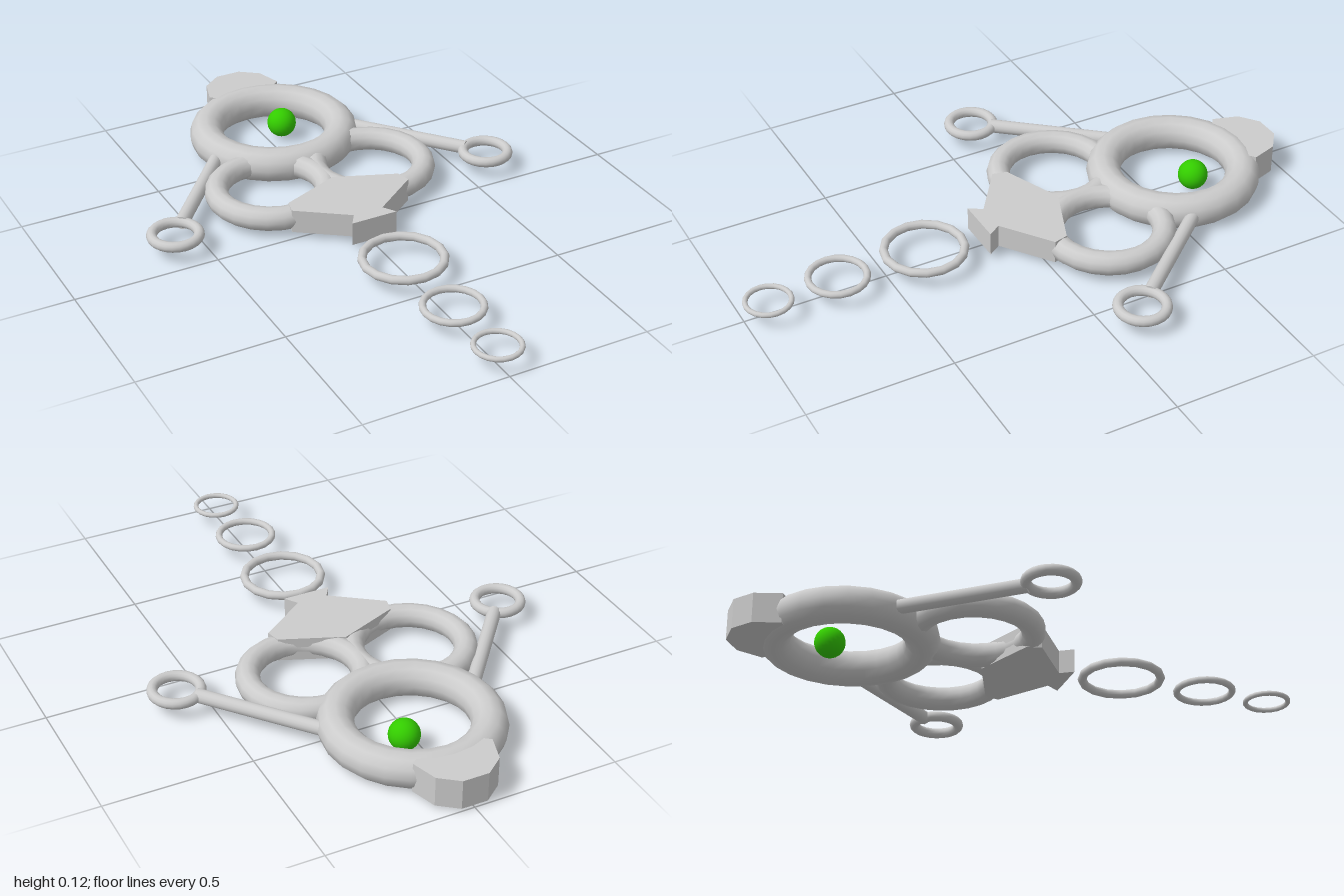
import * as THREE from 'three';

const MID = 0.06; // height of the common middle plane
const grey = new THREE.MeshStandardMaterial({ color: 0xcccccc });
const green = new THREE.MeshStandardMaterial({ color: 0x33cc00 });

function add(group, name, geometry, material = grey) {
  const mesh = new THREE.Mesh(geometry, material);
  mesh.name = name;
  group.add(mesh);
  return mesh;
}

// Ring lying flat at (x, z)
function ring(group, name, x, z, radius, tube, segments = 24) {
  const geometry = new THREE.TorusGeometry(radius, tube, 12, segments).rotateX(Math.PI / 2);
  add(group, name, geometry).position.set(x, MID, z);
}

// Flat plate, symmetric in x, from the [x, z] points of its +x half
function plate(group, name, half, y0, y1) {
  const mirrored = half.filter(([x]) => x > 0).reverse().map(([x, z]) => [-x, z]);
  const points = [...half, ...mirrored].map(([x, z]) => new THREE.Vector2(x, -z));
  const geometry = new THREE.ExtrudeGeometry(new THREE.Shape(points), { depth: y1 - y0, bevelEnabled: false });
  add(group, name, geometry.rotateX(-Math.PI / 2)).position.y = y0;
}

// Straight round bar between two points
function bar(group, name, from, to, radius) {
  const direction = to.clone().sub(from);
  const mesh = add(group, name, new THREE.CylinderGeometry(radius, radius, direction.length(), 16));
  mesh.position.copy(from).add(to).multiplyScalar(0.5);
  mesh.quaternion.setFromUnitVectors(new THREE.Vector3(0, 1, 0), direction.normalize());
}

export function createModel() {
  const model = new THREE.Group();
  model.name = 'ringFigure';

  // Large head ring with its cap and the loose bead
  ring(model, 'headRing', 0, -0.607, 0.243, 0.06);
  plate(model, 'headCap', [[0.1, -0.83], [0.138, -0.86], [0.11, -0.95], [0.045, -1], [-0.045, -1]]
    .filter(([x]) => x > 0), 0.01, 0.114);
  add(model, 'bead', new THREE.SphereGeometry(0.052, 24, 16), green).position.set(0.055, MID, -0.655);

  // Paired body rings, arms and hand rings
  for (const [side, s] of [['left', 1], ['right', -1]]) {
    ring(model, side + 'BodyRing', s * 0.19, -0.232, 0.19, 0.041);
    bar(model, side + 'Arm', new THREE.Vector3(s * 0.25, MID, -0.54), new THREE.Vector3(s * 0.55, MID, -0.178), 0.024);
    ring(model, side + 'HandRing', s * 0.597, -0.12, 0.079, 0.018);
  }

  // Pointed base plate with a flared foot
  plate(model, 'basePlate', [[0, -0.147], [0.21, -0.062], [0.222, -0.012], [0.054, 0.11], [0.083, 0.155]], 0.02, 0.103);

  // Trail of shrinking rings
  ring(model, 'trailRing1', -0.004, 0.357, 0.135, 0.015, 16);
  ring(model, 'trailRing2', -0.002, 0.67, 0.097, 0.012, 20);
  ring(model, 'trailRing3', 0.008, 0.915, 0.075, 0.009, 20);

  return model;
}
